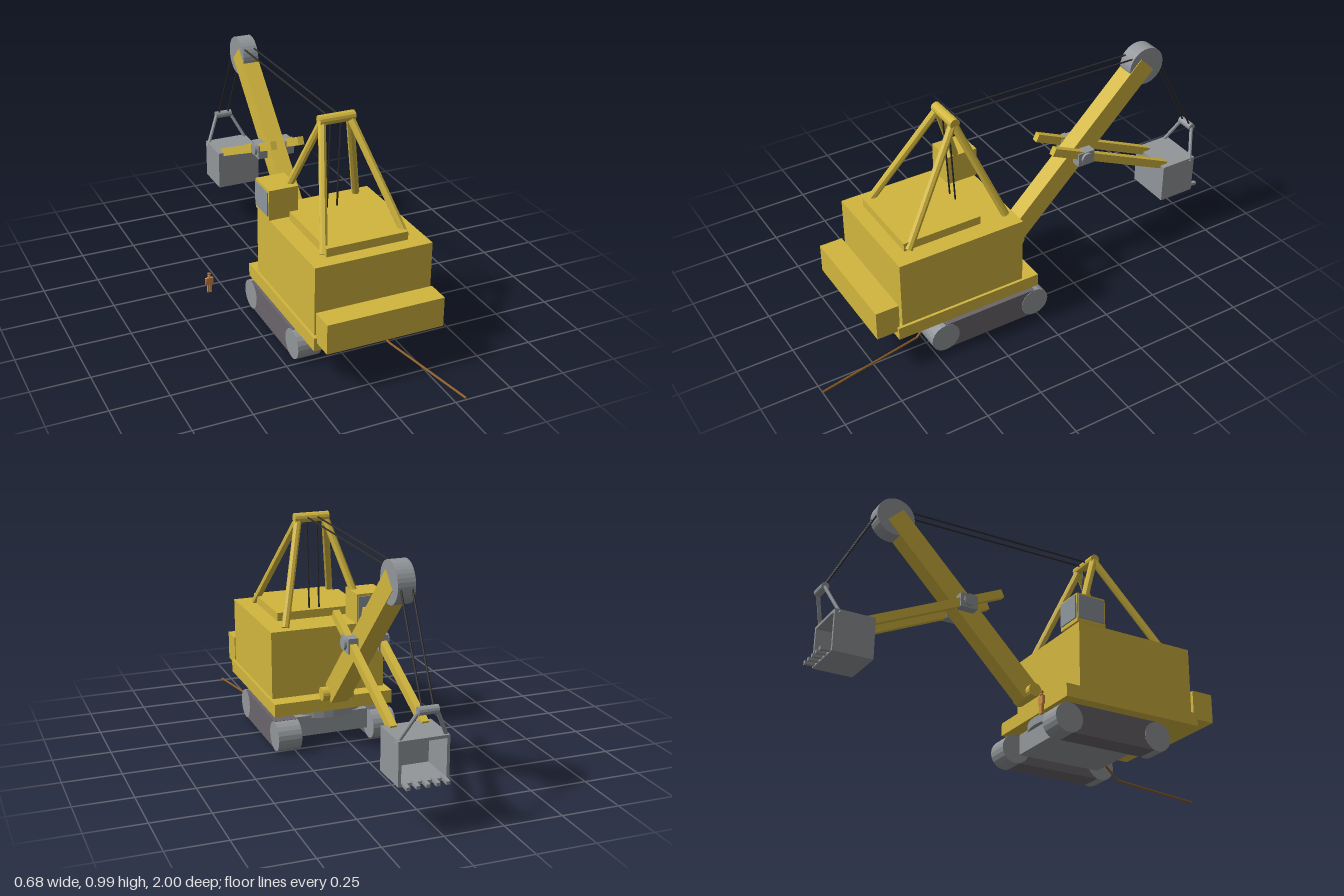
import * as THREE from 'three';

const mat = (name, color) => {
  const m = new THREE.MeshStandardMaterial({ color });
  m.name = name;
  return m;
};

export function createModel() {
  const yellow = mat('yellow paint', 0xd2b63e);
  const grey = mat('steel grey', 0x92969a);
  const dark = mat('track grey', 0x6a656a);
  const glass = mat('window glass', 0x8e969c);
  const black = mat('wire rope', 0x2e2c2b);
  const brown = mat('power cable', 0x8a5a22);
  const skin = mat('worker orange', 0xcc8a44);
  const hatMat = mat('hat brown', 0xa8743a);

  const root = new THREE.Group();
  root.name = 'miningShovel';
  const CX = 0.065; // centre line of the machine
  const V = (x, y, z) => new THREE.Vector3(x, y, z);

  const add = (name, geo, m, parent = root) => {
    const mesh = new THREE.Mesh(geo, m);
    mesh.name = name;
    parent.add(mesh);
    return mesh;
  };
  // faceted normals
  const flat = (geo) => {
    const g = geo.toNonIndexed();
    g.computeVertexNormals();
    return g;
  };
  // box given by its limits on each axis
  const box = (name, m, x0, x1, y0, y1, z0, z1, parent) => {
    const b = add(name, new THREE.BoxGeometry(x1 - x0, y1 - y0, z1 - z0), m, parent);
    b.position.set((x0 + x1) / 2, (y0 + y1) / 2, (z0 + z1) / 2);
    return b;
  };
  // round rod between two points
  const rod = (name, m, a, b, r, sides = 8, parent) => {
    const d = b.clone().sub(a);
    const mesh = add(name, flat(new THREE.CylinderGeometry(r, r, d.length(), sides)), m, parent);
    mesh.position.copy(a).add(b).multiplyScalar(0.5);
    mesh.quaternion.setFromUnitVectors(V(0, 1, 0), d.normalize());
    return mesh;
  };
  // cylinder lying along x
  const axle = (name, m, x0, x1, y, z, r, sides = 16, parent) =>
    rod(name, m, V(x0, y, z), V(x1, y, z), r, sides, parent);
  // rectangular beam between two points
  const beam = (name, m, a, b, w, h, parent) => {
    const mesh = add(name, new THREE.BoxGeometry(w, h, a.distanceTo(b)), m, parent);
    mesh.position.copy(a).add(b).multiplyScalar(0.5);
    mesh.lookAt(b);
    return mesh;
  };

  // crawler tracks and undercarriage
  for (const s of [-1, 1]) {
    const track = new THREE.Group();
    track.name = s > 0 ? 'leftTrack' : 'rightTrack';
    root.add(track);
    const c = CX + s * 0.217;
    box('trackBelt', dark, c - 0.05, c + 0.05, 0.008, 0.136, 0.013, 0.45, track);
    for (const z of [0.013, 0.45])
      axle('trackDrum', grey, c - 0.052, c + 0.052, 0.07, z, 0.065, 20, track);
  }
  box('undercarriage', grey, -0.1, 0.23, 0.045, 0.136, 0.03, 0.43);
  rod('turntable', grey, V(CX, 0.125, 0.23), V(CX, 0.162, 0.23), 0.222, 32);

  // superstructure
  box('deck', yellow, -0.205, 0.335, 0.16, 0.218, 0, 0.665);
  box('machineHouse', yellow, -0.193, 0.323, 0.218, 0.518, 0.072, 0.642);
  box('counterweight', yellow, -0.193, 0.323, 0.196, 0.327, 0.655, 0.757);
  box('roofHatch', yellow, -0.115, 0.245, 0.518, 0.555, 0.228, 0.58);

  // operator cab with front and side windows
  box('cab', yellow, -0.195, -0.065, 0.518, 0.652, 0.062, 0.203);
  box('cabFrontWindow', glass, -0.188, -0.072, 0.535, 0.642, 0.056, 0.062);
  box('cabSideWindow', glass, -0.2, -0.195, 0.535, 0.642, 0.068, 0.195);

  // A-frame
  const frame = new THREE.Group();
  frame.name = 'aFrame';
  root.add(frame);
  axle('frameTopBar', yellow, -0.012, 0.145, 0.96, 0.28, 0.022, 12, frame);
  for (const s of [-1, 1]) {
    const top = V(CX + s * 0.062, 0.955, 0.28);
    rod('rearLeg', yellow, top, V(CX + s * 0.182, 0.522, 0.56), 0.017, 8, frame);
    rod('frontLeg', yellow, top, V(CX + s * 0.182, 0.522, 0.11), 0.017, 8, frame);
  }

  // boom, foot pin and head sheave
  beam('boom', yellow, V(CX, 0.252, -0.033), V(CX, 0.917, -0.693), 0.078, 0.094);
  axle('boomFootPin', yellow, -0.005, 0.135, 0.252, -0.03, 0.03);
  axle('headSheave', grey, 0.029, 0.101, 0.908, -0.69, 0.086, 32);

  // dipper sticks with saddle blocks
  axle('saddleShaft', grey, -0.032, 0.162, 0.58, -0.36, 0.026);
  for (const s of [-1, 1]) {
    const x = CX + s * 0.065;
    beam('dipperStick', yellow, V(x, 0.658, -0.198), V(x, 0.376, -0.812), 0.028, 0.037);
    box('saddleBlock', grey, x - 0.021, x + 0.021, 0.545, 0.608, -0.4, -0.32);
  }

  // bucket, open at the digging end
  const bucket = new THREE.Group();
  bucket.name = 'bucket';
  root.add(bucket);
  const [bx0, bx1, by0, by1, bz0, bz1, t] = [-0.038, 0.168, 0.205, 0.385, -0.955, -0.782, 0.012];
  box('bucketBack', grey, bx0, bx1, by0, by1, bz1 - t, bz1, bucket);
  box('bucketFloor', grey, bx0, bx1, by0, by0 + t, bz0, bz1 - t, bucket);
  box('bucketTop', grey, bx0, bx1, by1 - t, by1, bz0, bz1 - t, bucket);
  box('bucketRightSide', grey, bx0, bx0 + t, by0 + t, by1 - t, bz0, bz1 - t, bucket);
  box('bucketLeftSide', grey, bx1 - t, bx1, by0 + t, by1 - t, bz0, bz1 - t, bucket);
  for (let i = -2; i <= 2; i++) {
    const x = CX + i * 0.04;
    beam('tooth', grey, V(x, 0.216, -0.94), V(x, 0.213, -0.997), 0.016, 0.014, bucket);
  }

  // bail
  axle('bailBar', grey, 0.025, 0.105, 0.503, -0.979, 0.017, 12, bucket);
  for (const s of [-1, 1])
    rod('bailArm', grey, V(CX + s * 0.036, 0.5, -0.979), V(CX + s * 0.1, 0.37, -0.932), 0.008, 8, bucket);

  // hoist ropes
  for (const s of [-1, 1]) {
    const x = CX + s * 0.023;
    const pts = [V(x, 0.555, 0.255), V(x, 0.962, 0.28), V(x, 0.955, -0.64)];
    rod('winchRope', black, pts[0], pts[1], 0.004, 6);
    rod('boomRope', black, pts[1], pts[2], 0.004, 6);
    rod('bailRope', black, V(x, 0.91, -0.766), V(x, 0.505, -0.979), 0.004, 6);
  }

  // trailing power cable
  const cable = [V(0.17, 0.064, 0.42), V(0.21, 0.01, 0.525), V(0.297, 0.009, 1)];
  for (let i = 0; i < 2; i++) rod('powerCable', brown, cable[i], cable[i + 1], 0.005, 8);

  // worker standing beside the machine
  const worker = new THREE.Group();
  worker.name = 'worker';
  worker.position.set(-0.322, 0, -0.19);
  root.add(worker);
  for (const s of [-1, 1]) {
    const l = s * 0.0055, a = s * 0.0165;
    box('workerLeg', skin, l - 0.0042, l + 0.0042, 0.002, 0.042, -0.005, 0.005, worker);
    box('workerArm', skin, a - 0.003, a + 0.003, 0.043, 0.074, -0.004, 0.004, worker);
  }
  box('workerTorso', skin, -0.0125, 0.0125, 0.04, 0.075, -0.006, 0.006, worker);
  const head = add('workerHead', new THREE.SphereGeometry(0.0075, 10, 8), skin, worker);
  head.position.y = 0.084;
  rod('workerHat', hatMat, V(0, 0.091, 0), V(0, 0.097, 0), 0.008, 10, worker);

  return root;
}
